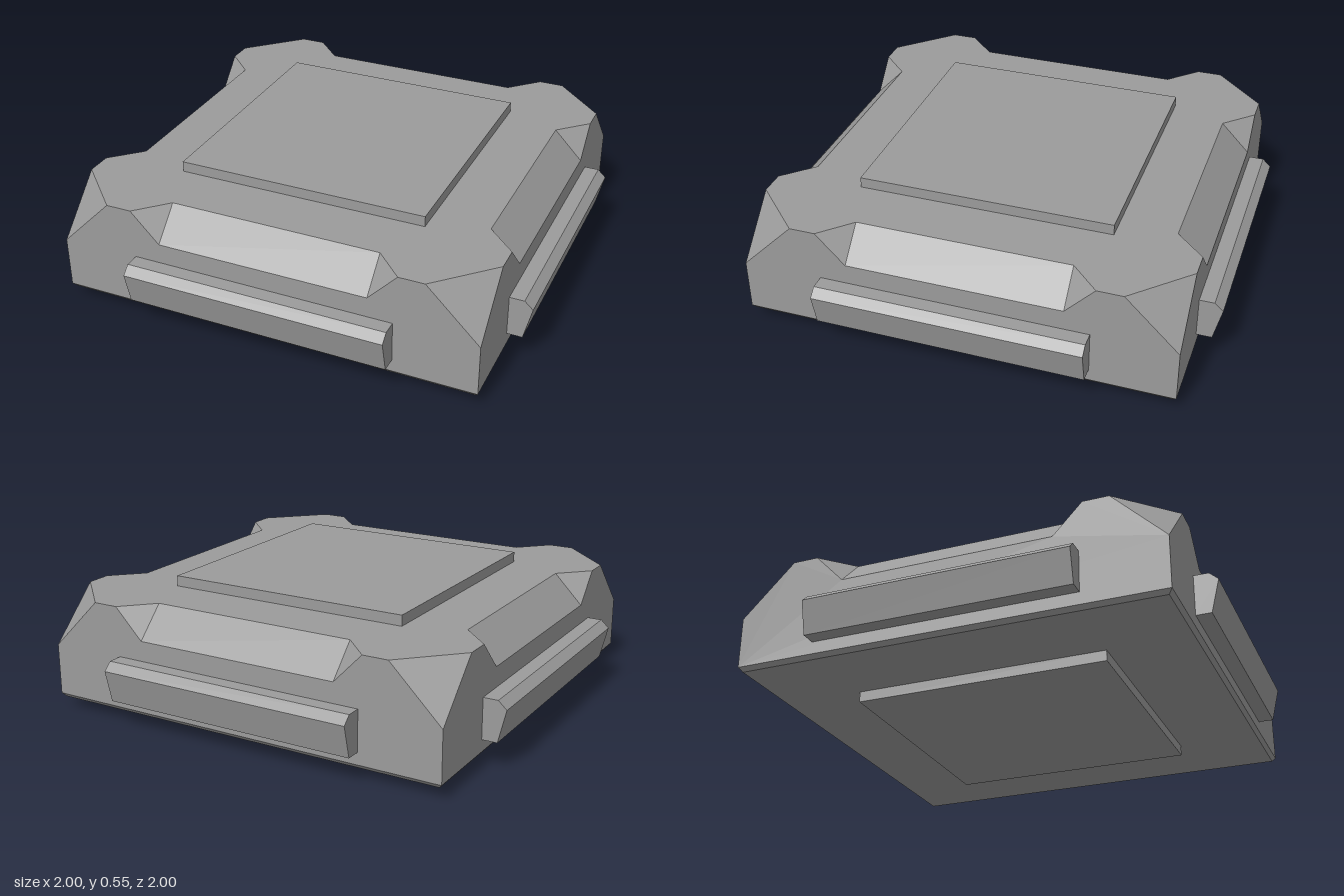
import * as THREE from 'three';

const material = new THREE.MeshStandardMaterial({ color: 0x9b9b9b, flatShading: true });

const shapeOf = (points) => new THREE.Shape(points.map(([x, y]) => new THREE.Vector2(x, y)));

function mesh(name, geometry) {
  const m = new THREE.Mesh(geometry, material);
  m.name = name;
  return m;
}

// Flat convex face from corners listed counter-clockwise
function face(name, corners) {
  const positions = [];
  for (let i = 1; i < corners.length - 1; i++) {
    positions.push(...corners[0], ...corners[i], ...corners[i + 1]);
  }
  const g = new THREE.BufferGeometry();
  g.setAttribute('position', new THREE.Float32BufferAttribute(positions, 3));
  g.computeVertexNormals();
  return mesh(name, g);
}

const W = 0.902;      // half width of the body
const TOP = 0.5;      // height of the deck
const BASE = 0.045;   // underside of the body
const EDGE = 0.063;   // top of the lower bevel
const FOOT = 0.887;   // half width of the underside
const CUT = 0.68;     // where the corner cut starts
const CUT_Y = 0.28;   // lowest point of the corner cut
const N_OUT = 0.572;  // half width of the notch at the deck
const N_IN = 0.45;    // half width of the notch floor
const N_Y = 0.373;    // lower edge of the notch
const N_Z = 0.778;    // inner edge of the notch

// One side: wall, notch, corner cut, lower bevel and rail
function createSide() {
  const side = new THREE.Group();
  side.name = 'side';

  const wall = new THREE.ShapeGeometry(shapeOf([
    [-W, EDGE], [W, EDGE], [W, CUT_Y], [CUT, TOP], [N_OUT, TOP], [N_IN, N_Y],
    [-N_IN, N_Y], [-N_OUT, TOP], [-CUT, TOP], [-W, CUT_Y],
  ]));
  side.add(mesh('wall', wall.translate(0, 0, W)));

  side.add(face('cornerCut', [[CUT, TOP, W], [W, CUT_Y, W], [W, TOP, CUT]]));
  side.add(face('notchSlope', [[-N_IN, N_Y, W], [N_IN, N_Y, W], [N_IN, TOP, N_Z], [-N_IN, TOP, N_Z]]));
  side.add(face('notchEndLeft', [[N_IN, N_Y, W], [N_OUT, TOP, W], [N_IN, TOP, N_Z]]));
  side.add(face('notchEndRight', [[-N_IN, N_Y, W], [-N_IN, TOP, N_Z], [-N_OUT, TOP, W]]));
  side.add(face('lowerBevel', [[-FOOT, BASE, FOOT], [FOOT, BASE, FOOT], [W, EDGE, W], [-W, EDGE, W]]));

  // Rail profile in (z, y), swept along x
  const rail = new THREE.ExtrudeGeometry(
    shapeOf([[W, 0.115], [0.966, 0.115], [1, 0.254], [0.964, 0.287], [W, 0.287]]),
    { depth: 1.12, bevelEnabled: false },
  );
  side.add(mesh('rail', rail.rotateY(-Math.PI / 2).translate(0.555, 0, 0)));
  return side;
}

export function createModel() {
  const model = new THREE.Group();
  model.name = 'notchedTile';

  for (let i = 0; i < 4; i++) {
    const side = createSide();
    side.rotation.y = (i * Math.PI) / 2;
    model.add(side);
  }

  // Deck outline: one side's points turned through four quarters
  const edge = [[-CUT, -W], [-N_OUT, -W], [-N_IN, -N_Z], [N_IN, -N_Z], [N_OUT, -W], [CUT, -W]];
  const outline = [];
  for (let i = 0; i < 4; i++) {
    for (const [x, y] of edge) {
      outline.push([[x, y], [-y, x], [-x, -y], [y, -x]][i]);
    }
  }
  const deck = new THREE.ShapeGeometry(shapeOf(outline));
  model.add(mesh('deck', deck.rotateX(-Math.PI / 2).translate(0, TOP, 0)));

  const underside = new THREE.PlaneGeometry(2 * FOOT, 2 * FOOT);
  model.add(mesh('underside', underside.rotateX(Math.PI / 2).translate(0, BASE, 0)));

  // Raised square plates above and below
  for (const [name, y] of [['topPlate', TOP + BASE / 2], ['bottomPlate', BASE / 2]]) {
    const plate = mesh(name, new THREE.BoxGeometry(1.08, BASE, 1.08));
    plate.position.set(-0.002, y, -0.002);
    model.add(plate);
  }
  return model;
}
